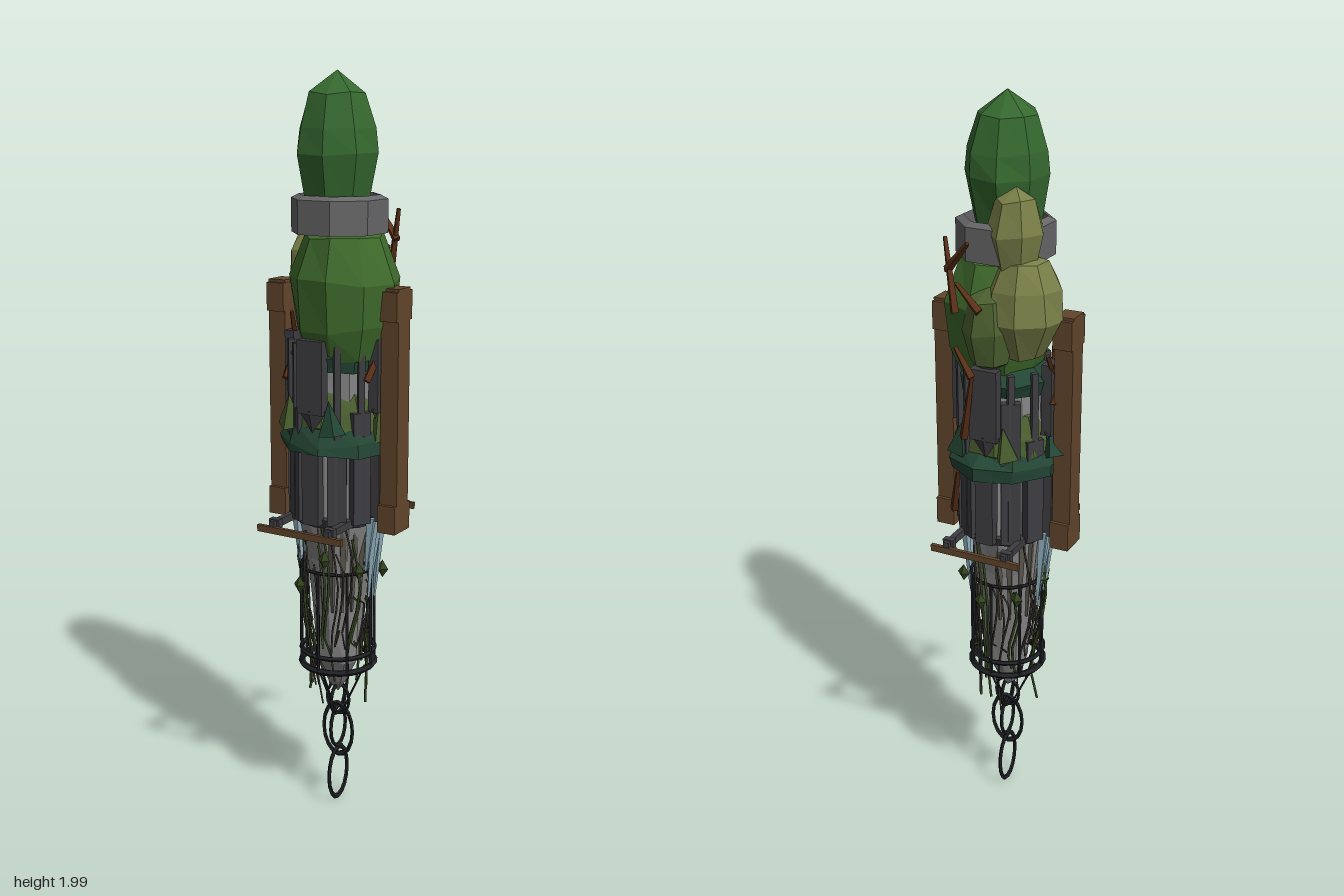
import * as THREE from 'three';

const mats = {};
const mat = (c) => (mats[c] ??= new THREE.MeshStandardMaterial({ color: c, flatShading: true, side: THREE.DoubleSide }));
const GREEN = 0x35682f, MID = 0x3f6b2c, OLIVE = 0x7a8048, MOSS = 0x4c6130, PINE = 0x234534;
const DARK = 0x3e3e42, ROCK = 0x858585, STEEL = 0x666668, IRON = 0x1f2024, WOOD = 0x62452b, TWIG = 0x5a3018, WATER = 0x8fb0bd;
const V = (x, y, z) => new THREE.Vector3(x, y, z);

export function createModel() {
  const model = new THREE.Group();
  let seed = 11;
  const rnd = () => (seed = (seed * 16807) % 2147483647) / 2147483647;

  const add = (name, geo, color, x = 0, y = 0, z = 0) => {
    const m = new THREE.Mesh(geo, mat(color));
    m.name = name;
    m.position.set(x, y, z);
    model.add(m);
    return m;
  };
  const box = (name, color, w, h, d, x, y, z) => add(name, new THREE.BoxGeometry(w, h, d), color, x, y, z);

  // faceted turned shape whose corners are nudged by a position-based wobble
  const lump = (name, color, profile, sides, x = 0, z = 0, wobble = 0.01, turn = 0.2) => {
    const geo = new THREE.LatheGeometry(profile.map(([r, y]) => new THREE.Vector2(r, y)), sides);
    const p = geo.attributes.position;
    for (let i = 0; i < p.count; i++) {
      const px = p.getX(i), py = p.getY(i), pz = p.getZ(i);
      if (Math.hypot(px, pz) < 0.004) continue;
      const a = Math.sin(px * 91 + py * 47 + pz * 63), b = Math.sin(px * 57 - py * 83 + pz * 39);
      p.setXYZ(i, px * (1 + a * wobble * 6), py + b * wobble, pz * (1 + a * wobble * 6));
    }
    geo.computeVertexNormals();
    const m = add(name, geo, color, x, 0, z);
    m.rotation.y = turn;
    return m;
  };
  // straight rod between two points
  const rod = (name, color, a, b, r0, r1 = r0, sides = 5) => {
    const d = b.clone().sub(a);
    const m = add(name, new THREE.CylinderGeometry(r1, r0, d.length(), sides), color);
    m.position.copy(a).addScaledVector(d, 0.5);
    m.quaternion.setFromUnitVectors(V(0, 1, 0), d.normalize());
    return m;
  };
  const polar = (a, r, y) => V(Math.sin(a) * r, y, Math.cos(a) * r);

  // foliage crowns
  lump('topCrown', GREEN, [[0.0, 1.67], [0.085, 1.68], [0.108, 1.8], [0.1, 1.86], [0.075, 1.945], [0, 2.0]], 8, 0.01, 0.02, 0.004);
  lump('lowerCrown', MID, [[0, 1.3], [0.1, 1.29], [0.128, 1.37], [0.14, 1.49], [0.105, 1.6], [0, 1.63]], 9, 0.025, 0.01, 0.007);
  lump('oliveCrown', OLIVE, [[0, 1.36], [0.05, 1.37], [0.1, 1.47], [0.092, 1.55], [0.06, 1.61], [0, 1.63]], 8, -0.07, -0.05, 0.006);
  lump('oliveSpire', OLIVE, [[0, 1.58], [0.055, 1.6], [0.072, 1.68], [0.05, 1.76], [0, 1.79]], 7, -0.05, -0.055, 0.005);
  lump('oliveTuft', MOSS, [[0, 1.33], [0.05, 1.36], [0.07, 1.44], [0.05, 1.52], [0, 1.55]], 7, 0.0, -0.1, 0.005);

  // slightly tipped metal collar between the crowns
  const collar = lump('collar', STEEL, [[0.105, 1.605], [0.125, 1.605], [0.125, 1.69], [0.105, 1.7], [0.105, 1.605]], 8, 0.01, 0.01, 0, 0.35);
  collar.scale.y = 1.0;

  // stone core, tapering to a point inside the cage
  lump('stoneCore', ROCK, [[0, 0.34], [0.025, 0.37], [0.06, 0.45], [0.072, 0.6], [0.085, 0.74], [0.105, 0.87], [0.105, 1.05], [0.1, 1.28], [0, 1.32]], 10, 0, 0, 0.008);

  // dark wall panels, with tall ones on the four main sides
  for (let i = 0; i < 12; i++) {
    const a = (i * Math.PI) / 6, main = i % 3 === 0;
    const h = main ? 0.2 : 0.19 + rnd() * 0.24;
    const p = polar(a, main ? 0.127 : 0.118, 0.86 + h / 2);
    box('wallPanel', DARK, 0.05, h, 0.025, p.x, p.y, p.z).rotation.y = a;
    if (main) {
      const q = polar(a, 0.127, 1.25);
      box('upperShield', DARK, 0.075, 0.19, 0.028, q.x, q.y, q.z).rotation.y = a;
      const t = add('shieldTip', new THREE.ConeGeometry(0.045, 0.06, 4), DARK, q.x, 1.135, q.z);
      t.rotation.set(Math.PI, a, 0);
      t.scale.z = 0.35;
    } else {
      rod('cornerPost', DARK, polar(a, 0.122, 0.87), polar(a, 0.122, 1.33), 0.012, 0.012, 4);
    }
  }
  lump('wallTop', PINE, [[0.09, 1.33], [0.128, 1.3], [0.115, 1.26]], 9, 0, 0, 0.005);

  // leafy skirts around the walls
  lump('darkSkirt', PINE, [[0.1, 1.05], [0.15, 1.05], [0.152, 1.075], [0.125, 1.115], [0.1, 1.13]], 9, 0, 0, 0.007);
  lump('mossSkirt', MOSS, [[0.1, 1.1], [0.138, 1.11], [0.125, 1.15], [0.1, 1.21], [0.09, 1.22]], 8, 0, 0, 0.009);
  for (let i = 0; i < 6; i++) {
    const p = polar(i * 1.05 + 0.4, 0.135, 1.12 + rnd() * 0.06);
    const t = add('leafTuft', new THREE.ConeGeometry(0.035, 0.09, 4), i % 2 ? MOSS : PINE, p.x, p.y, p.z);
    t.rotation.set(rnd() - 0.5, rnd() * 3, rnd() - 0.5);
  }

  // wooden side boards with end cleats, dark rails and outer perches
  for (const s of [-1, 1]) {
    box('sideBoard', WOOD, 0.05, 0.635, 0.06, s * 0.17, 1.1575, 0);
    for (const y of [0.875, 1.43]) box('boardCleat', WOOD, 0.052, 0.075, 0.08, s * 0.169, y, 0);
    box('rail', DARK, 0.016, 0.02, 0.39, s * 0.083, 0.862, 0);
    box('perch', WOOD, 0.255, 0.018, 0.011, 0, 0.848, s * 0.191);
    for (const t of [-1, 1]) box('railEnd', DARK, 0.03, 0.03, 0.018, t * 0.083, 0.86, s * 0.175);
  }
  add('deck', new THREE.CylinderGeometry(0.128, 0.115, 0.025, 12), DARK, 0, 0.86, 0);

  // falling water on both sides
  for (const s of [-1, 1]) for (let i = 0; i < 4; i++) {
    const z = (i - 1.5) * 0.018, len = 0.15 + rnd() * 0.09;
    rod('waterStream', WATER, V(s * 0.118, 0.87, z), V(s * 0.1, 0.87 - len, z * 0.8), 0.014, 0.004, 4);
  }

  // hanging roots and vines
  for (let i = 0; i < 34; i++) {
    const a = i * 2.4, top = 0.62 + rnd() * 0.24, end = 0.3 + rnd() * 0.25;
    const r = 0.075 + (top - 0.6) * 0.13;
    const green = i % 3 === 0;
    const curve = new THREE.CatmullRomCurve3([
      polar(a, r, top), polar(a + 0.2, r + 0.006, (top + end) / 2 + 0.06),
      polar(a - 0.05, 0.08, Math.min(0.5, end + 0.12)), polar(a + 0.1, 0.05 + rnd() * 0.045, end)]);
    const geo = new THREE.TubeGeometry(curve, 6, green ? 0.004 : 0.003, 4);
    add(green ? 'vine' : 'root', geo, green ? 0x33441f : 0x38332d);
    if (i % 4 === 0) rod('rootStub', 0x5b554d, polar(a, 0.09, 0.87), polar(a, 0.075, 0.6), 0.014, 0.004, 4);
  }
  for (let i = 0; i < 7; i++) {
    const p = polar(i * 0.9 + 1.1, 0.1 + rnd() * 0.025, 0.64 + rnd() * 0.13);
    add('vineLeaves', new THREE.OctahedronGeometry(0.018), 0x33441f, p.x, p.y, p.z).scale.set(1, 1.4, 0.8);
  }

  // iron cage: hoops, bars and the ties down to the chain
  for (const [y, t] of [[0.715, 0.005], [0.475, 0.007], [0.435, 0.009]])
    add('cageHoop', new THREE.TorusGeometry(0.1, t, 5, 20), IRON, 0, y, 0).rotation.x = Math.PI / 2;
  for (let i = 0; i < 8; i++) {
    const a = (i * Math.PI) / 4;
    rod('cageBar', IRON, polar(a, 0.102, 0.43), polar(a, 0.102, 0.72), 0.0045);
    if (i % 2 === 0) rod('cageTie', IRON, polar(a, 0.085, 0.435), polar(a, 0.018, 0.29), 0.003);
  }

  // chain of crossed oval links
  const link = (y, rx, ry, turn) => {
    const m = add('chainLink', new THREE.TorusGeometry(1, 0.11, 5, 16), IRON, 0, y, 0);
    m.scale.set(rx, ry, 0.05);
    m.rotation.y = turn;
  };
  link(0.318, 0.036, 0.045, 0);
  link(0.318, 0.036, 0.045, Math.PI / 2);
  link(0.225, 0.047, 0.077, 0);
  link(0.235, 0.038, 0.06, Math.PI / 2);
  link(0.093, 0.048, 0.076, Math.PI / 2);

  // bare branches climbing the back and flanks
  const branches = [
    [0.06, 1.15, -0.13, 0.02, 1.33, -0.16], [0.02, 1.33, -0.16, 0.07, 1.4, -0.15], [0.08, 1.48, -0.13, 0.12, 1.66, -0.1],
    [0.0, 1.5, -0.155, 0.07, 1.56, -0.14], [0.11, 1.58, -0.11, 0.04, 1.66, -0.135], [-0.14, 1.24, -0.03, -0.11, 1.4, 0.05],
    [-0.13, 1.22, 0.05, -0.14, 1.38, -0.06], [0.12, 1.24, 0.06, 0.14, 1.36, -0.02], [0.13, 0.9, -0.06, 0.09, 1.04, -0.11]];
  for (const [a, b, c, d, e, f] of branches) rod('branch', TWIG, V(a, b, c), V(d, e, f), 0.012, 0.006, 4);

  return model;
}
